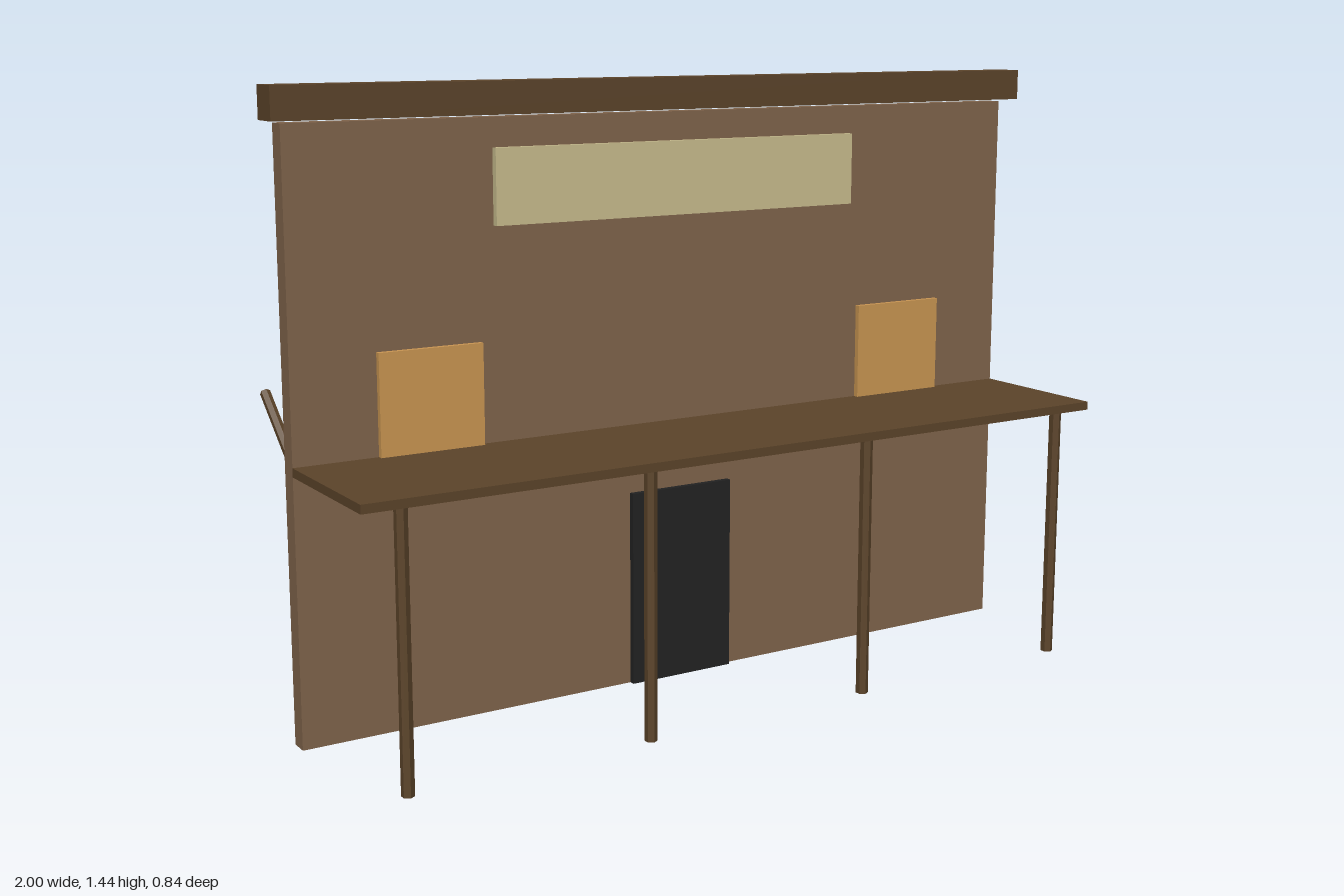
import * as THREE from 'three';

const mat = (name, color) => {
  const m = new THREE.MeshStandardMaterial({ color });
  m.name = name;
  return m;
};

export function createModel() {
  const model = new THREE.Group();
  model.name = 'facade';

  const wallBrown = mat('wall brown', 0x80644b);
  const darkWood = mat('dark wood', 0x5c442a);
  const cream = mat('cream', 0xc9bd8e);
  const amber = mat('amber', 0xca9652);
  const black = mat('black', 0x222222);

  // Box given by its lower and upper limits on each axis
  const box = (name, material, [x0, x1], [y0, y1], [z0, z1]) => {
    const mesh = new THREE.Mesh(new THREE.BoxGeometry(x1 - x0, y1 - y0, z1 - z0), material);
    mesh.position.set((x0 + x1) / 2, (y0 + y1) / 2, (z0 + z1) / 2);
    mesh.name = name;
    model.add(mesh);
  };

  // Six-sided pole, tilted about x
  const pole = (name, radius, length, x, y, z, tilt = 0) => {
    const mesh = new THREE.Mesh(
      new THREE.CylinderGeometry(radius, radius, length, 6).toNonIndexed(), darkWood);
    mesh.geometry.computeVertexNormals();
    mesh.position.set(x, y, z);
    mesh.rotation.x = tilt;
    mesh.name = name;
    model.add(mesh);
  };

  // Front wall and its cornice
  box('wall', wallBrown, [-0.968, 0.968], [0, 1.357], [0.01, 0.054]);
  box('cornice', darkWood, [-1, 1], [1.363, 1.436], [0.015, 0.088]);

  // Blank sign board, door and windows
  box('signBoard', cream, [-0.485, 0.485], [1.12, 1.291], [0.057, 0.073]);
  box('door', black, [-0.137, 0.137], [0, 0.468], [0.054, 0.068]);
  for (const [name, x] of [['rightWindow', -0.645], ['leftWindow', 0.645]]) {
    box(name, amber, [x - 0.125, x + 0.125], [0.625, 0.863], [0.054, 0.067]);
  }

  // Porch roof on four posts
  box('porchRoof', darkWood, [-0.968, 0.968], [0.612, 0.632], [0.054, 0.418]);
  for (const x of [-0.876, -0.292, 0.292, 0.876]) {
    pole('porchPost', 0.0145, 0.612, x, 0.306, 0.402);
  }

  // Slanted braces behind the wall
  for (const x of [-0.854, 0, 0.854]) {
    pole('rearBrace', 0.0125, 0.5, x, 0.546, -0.219, -THREE.MathUtils.degToRad(50));
  }

  return model;
}
